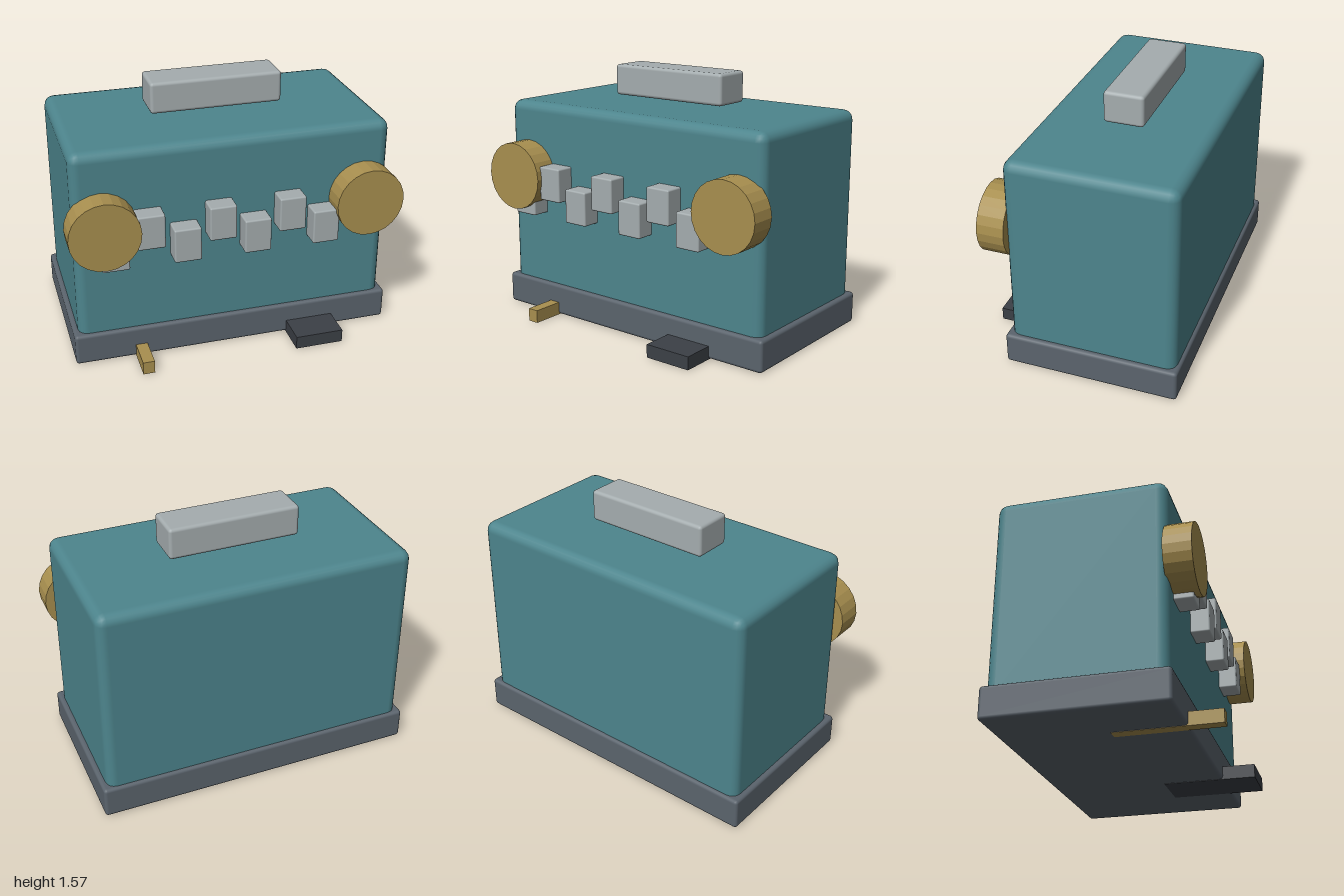
import * as THREE from 'three';
import { RoundedBoxGeometry } from 'three/addons/geometries/RoundedBoxGeometry.js';

const teal = new THREE.MeshStandardMaterial({ color: 0x4d858d });
const slate = new THREE.MeshStandardMaterial({ color: 0x5b646d });
const dark = new THREE.MeshStandardMaterial({ color: 0x3c4046 });
const brass = new THREE.MeshStandardMaterial({ color: 0xa88f4f, flatShading: true });
const pale = new THREE.MeshStandardMaterial({ color: 0xa5adaf });

// Box given by its extents on each axis; a radius rounds the edges
function box(name, material, [x0, x1], [y0, y1], [z0, z1], radius = 0) {
  const size = [x1 - x0, y1 - y0, z1 - z0];
  const geometry = radius
    ? new RoundedBoxGeometry(...size, 2, radius)
    : new THREE.BoxGeometry(...size);
  const mesh = new THREE.Mesh(geometry, material);
  mesh.name = name;
  mesh.position.set((x0 + x1) / 2, (y0 + y1) / 2, (z0 + z1) / 2);
  return mesh;
}

export function createModel() {
  const model = new THREE.Group();
  model.name = 'device';

  // Housing on its plinth, with the handle hovering above
  model.add(
    box('base', slate, [-0.98, 0.98], [0.002, 0.195], [-0.62, 0.425], 0.02),
    box('body', teal, [-0.95, 0.95], [0.1, 1.34], [-0.6, 0.4], 0.06),
    box('handle', pale, [-0.4, 0.4], [1.375, 1.565], [-0.22, 0.02], 0.02),
  );

  // Two staggered rows of keys
  const keys = new THREE.Group();
  keys.name = 'keys';
  for (let i = 0; i < 7; i++) {
    const x = -0.73 + i * 0.21;
    const y = i % 2 ? 0.867 : 0.755;
    keys.add(box('key', pale, [x - 0.08, x + 0.08], [y - 0.104, y + 0.104], [0.38, 0.512], 0.01));
  }
  model.add(keys);

  // Round knobs at both front corners
  for (const side of [-1, 1]) {
    const knob = new THREE.Mesh(new THREE.CylinderGeometry(0.208, 0.208, 0.162, 24), brass);
    knob.name = side > 0 ? 'leftKnob' : 'rightKnob';
    knob.rotation.x = Math.PI / 2;
    knob.position.set(side * 0.79, 0.89, 0.464);
    model.add(knob);
  }

  // Lever and pedal running out from under the base
  model.add(
    box('lever', brass, [-0.62, -0.55], [0, 0.08], [0, 0.62]),
    box('pedal', dark, [0.33, 0.625], [0, 0.08], [0.06, 0.62]),
  );
  return model;
}
